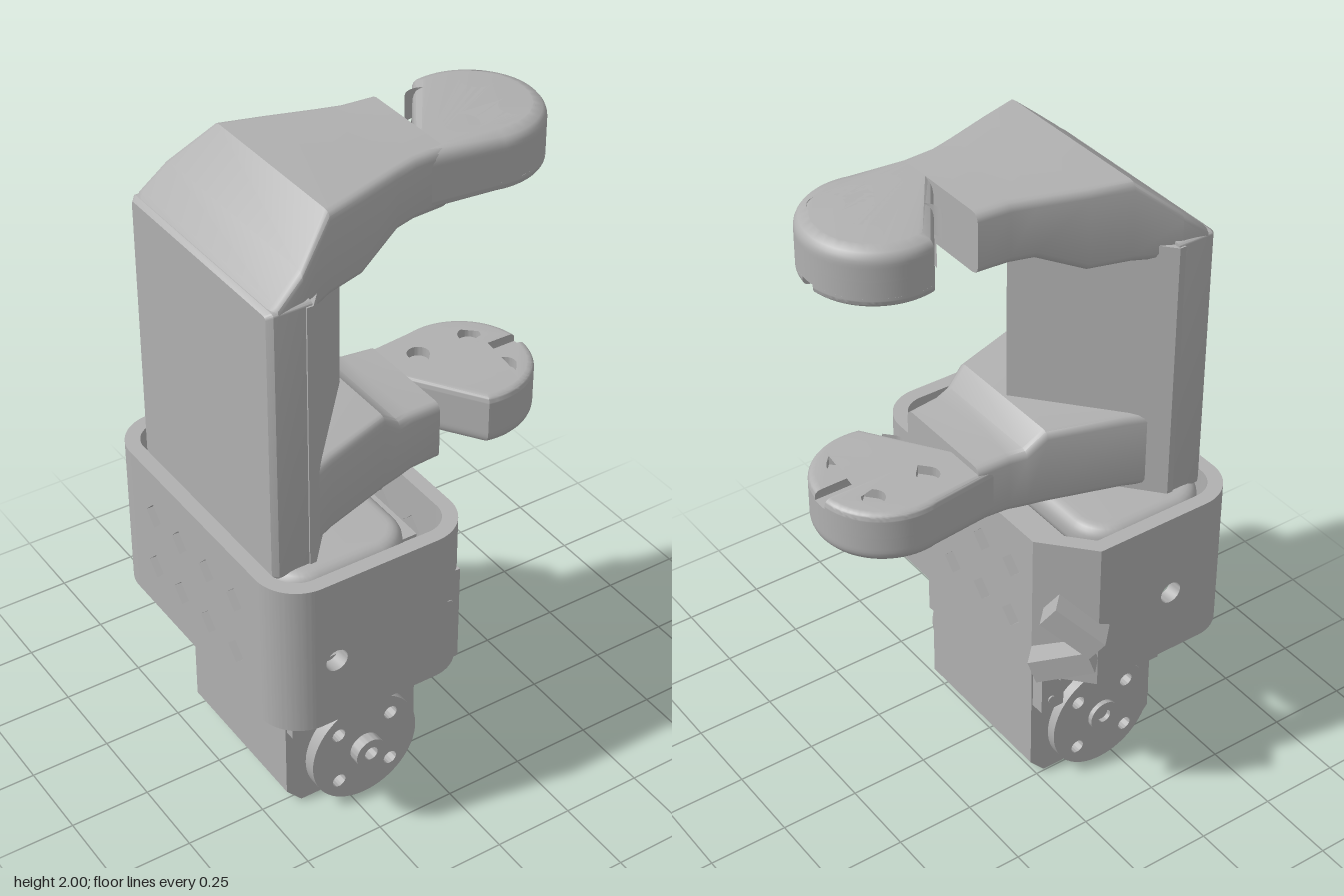
import * as THREE from 'three';
import { toCreasedNormals } from 'three/addons/utils/BufferGeometryUtils.js';

const metal = new THREE.MeshStandardMaterial({ color: 0xb0b0b0 });
metal.name = 'grey plastic';
const ZC = 0.015; // centre line of the bracket

function add(parent, name, geo, x = 0, y = 0, z = 0) {
  const m = new THREE.Mesh(toCreasedNormals(geo, 0.6), metal);
  m.name = name;
  m.position.set(x, y, z);
  parent.add(m);
  return m;
}
// box given by its limits
const box = (p, name, x0, x1, y0, y1, z0, z1) =>
  add(p, name, new THREE.BoxGeometry(x1 - x0, y1 - y0, z1 - z0), (x0 + x1) / 2, (y0 + y1) / 2, (z0 + z1) / 2);
// cylinder along z between two limits
const rod = (p, name, r, x, y, z0, z1, n = 32) =>
  add(p, name, new THREE.CylinderGeometry(r, r, z1 - z0, n).rotateX(Math.PI / 2), x, y, (z0 + z1) / 2);

// shape in (x, z), extruded downwards from y = 0
const flat = (shape, depth, steps = 1) =>
  new THREE.ExtrudeGeometry(shape, { depth, steps, bevelEnabled: false, curveSegments: 20 }).rotateX(Math.PI / 2);

const circle = (x, y, r) => new THREE.Path().absarc(x, y, r, 0, Math.PI * 2, true);
const poly = (pts) => new THREE.Path(pts.map(([x, y]) => new THREE.Vector2(x, y)));
const diamond = (x, y, r) => poly([[x - r, y], [x, y + r], [x + r, y], [x, y - r]]);
function teardrop(x, y, r) {
  const p = new THREE.Path();
  p.absarc(x, y, r, -0.7, Math.PI + 0.7, false);
  p.lineTo(x, y - r * 1.5);
  p.closePath();
  return p;
}

// solid through rounded rectangles [x, half width, y0, y1] along x
function loft(sections, radius) {
  const pos = [], idx = [], n = 16;
  for (const [x, w, y0, y1] of sections) {
    for (let j = 0; j < n; j++) {
      const c = Math.floor(j / 4), a = (c + (j % 4) / 3) * Math.PI / 2;
      const sz = c === 0 || c === 3 ? -1 : 1, top = c < 2;
      pos.push(x, (top ? y1 - radius : y0 + radius) + Math.sin(a) * radius,
        sz * (w - radius) - Math.cos(a) * radius + ZC);
    }
  }
  const last = (sections.length - 1) * n;
  for (let i = 0; i < last; i += n) {
    for (let j = 0; j < n; j++) {
      const a = i + j, b = i + (j + 1) % n;
      idx.push(a, b, a + n, b, b + n, a + n);
    }
  }
  for (let j = 1; j < n - 1; j++) idx.push(0, j + 1, j, last, last + j, last + j + 1);
  const g = new THREE.BufferGeometry();
  g.setAttribute('position', new THREE.Float32BufferAttribute(pos, 3));
  g.setIndex(idx);
  g.computeVertexNormals();
  return g;
}

// round arm end: outer counterbores, inner teardrop holes and a slotted face
function armHead() {
  const g = new THREE.Group(), cx = 0.35, R = 0.21, T = 0.17;
  const outline = (slot) => {
    const s = new THREE.Shape();
    s.moveTo(0.05, -0.175);
    if (slot) {
      s.absarc(cx, 0, R, -1.8, -0.12, false);
      s.lineTo(0.3, -0.025);
      s.lineTo(0.3, 0.025);
      s.absarc(cx, 0, R, 0.12, 1.8, false);
    } else s.absarc(cx, 0, R, -1.8, 1.8, false);
    s.lineTo(0.05, 0.175);
    s.closePath();
    return s;
  };
  const layers = [[0, 0.09, (x, z) => circle(x, z, 0.05)], [0.09, 0.05, (x, z) => teardrop(x, z, 0.034)],
    [0.14, 0.03, (x, z) => teardrop(x, z, 0.034)]];
  layers.forEach(([top, depth, hole], i) => {
    const s = outline(i === 2);
    for (const x of [0.26, 0.44]) for (const z of [-0.09, 0.09]) s.holes.push(hole(x, z));
    const geo = flat(s, depth, 9).translate(0, -top, 0), p = geo.attributes.position;
    // round the outer edges by drawing the rim inwards near both faces
    for (let k = 0; k < p.count; k++) {
      const dx = p.getX(k) - cx, z = p.getZ(k), d = Math.hypot(dx, z);
      if (d < 0.185) continue;
      const y = -p.getY(k), r = y < T / 2 ? 0.04 : 0.02;
      const e = Math.max(0, r - Math.min(y, T - y));
      const f = 1 - (r - Math.sqrt(Math.max(0, r * r - e * e))) / d;
      p.setX(k, cx + dx * f);
      p.setZ(k, z * f);
    }
    add(g, ['outerLayer', 'middleLayer', 'slottedFace'][i], geo);
  });
  return g;
}

function bracket() {
  const g = new THREE.Group();
  g.name = 'bracket';
  add(g, 'spine', loft([[-0.51, 0.34, 0.96, 1.8], [-0.495, 0.355, 0.96, 1.81], [-0.38, 0.355, 0.96, 1.81]], 0.01));
  add(g, 'upperArm', loft([[-0.51, 0.33, 1.7, 1.79], [-0.48, 0.355, 1.7, 1.825], [-0.4, 0.345, 1.75, 1.895],
    [-0.28, 0.285, 1.75, 2], [-0.16, 0.25, 1.75, 2], [-0.02, 0.205, 1.815, 2], [0.05, 0.185, 1.815, 2],
    [0.15, 0.178, 1.815, 2]], 0.025));
  add(g, 'lowerArm', loft([[-0.42, 0.345, 0.99, 1.24], [-0.28, 0.285, 0.99, 1.24], [-0.06, 0.215, 0.99, 1.24],
    [0, 0.2, 0.99, 1.19], [0.05, 0.185, 0.99, 1.185], [0.15, 0.178, 0.99, 1.18]], 0.025));
  // three-sided web between the arms
  const web = new THREE.Shape(poly([[-0.4, -0.345], [-0.38, -0.345], [-0.07, ZC], [-0.38, 0.375], [-0.4, 0.375]]).getPoints());
  add(g, 'web', flat(web, 0.83), 0, 1.8, 0);
  const upper = armHead(), lower = armHead();
  upper.name = 'upperArmHead';
  upper.position.set(0, 2, ZC);
  lower.name = 'lowerArmHead';
  lower.position.set(0, 0.99, ZC);
  lower.rotation.x = Math.PI;
  g.add(upper, lower);
  // rounded foot inside the sleeve
  const f = new THREE.Shape(), r = 0.08, x0 = -0.47, x1 = -0.12, z0 = -0.36, z1 = 0.39;
  f.absarc(x1 - r, z1 - r, r, 0, Math.PI / 2);
  f.absarc(x0 + r, z1 - r, r, Math.PI / 2, Math.PI);
  f.absarc(x0 + r, z0 + r, r, Math.PI, Math.PI * 1.5);
  f.absarc(x1 - r, z0 + r, r, Math.PI * 1.5, Math.PI * 2);
  add(g, 'foot', new THREE.ExtrudeGeometry(f, { depth: 0.02, bevelSize: 0.04, bevelThickness: 0.04, bevelSegments: 5 })
    .rotateX(Math.PI / 2), 0, 0.935, 0);
  return g;
}

function sleeve() {
  const g = new THREE.Group(), Y0 = 0.49, H = 0.495, T = 0.045, R = 0.13;
  g.name = 'sleeve';
  // flat wall from a to b (x, z), outside to the right of travel
  const wall = (name, a, b, holes = []) => {
    const dx = b[0] - a[0], dz = b[1] - a[1], L = Math.hypot(dx, dz);
    const s = new THREE.Shape(poly([[0, 0], [L, 0], [L, H], [0, H]]).getPoints());
    s.holes.push(...holes);
    const geo = new THREE.ExtrudeGeometry(s, { depth: T, bevelEnabled: false, curveSegments: 12 }).translate(0, 0, -T);
    add(g, name, geo, a[0], Y0, a[1]).rotation.y = -Math.atan2(dz, dx);
  };
  const corner = (x, z, a) => {
    const s = new THREE.Shape();
    s.absarc(x, z, R, a, a + Math.PI / 2, false);
    s.absarc(x, z, R - T, a + Math.PI / 2, a, true);
    add(g, 'roundedCorner', flat(s, H), 0, Y0 + H, 0);
  };
  const grid = (u) => [0.24, 0.09, -0.06, -0.205].flatMap((z) => [0.155, 0.34].map((y) => diamond(u(z), y, 0.042)));
  wall('frontWall', [-0.435, 0.49], [-0.06, 0.49], [circle(0.045, 0.22, 0.035)]);
  wall('leftWall', [0.07, 0.36], [0.07, -0.31], grid((z) => 0.36 - z));
  wall('chamferWall', [0.07, -0.31], [-0.06, -0.455]);
  wall('backWall', [-0.06, -0.455], [-0.435, -0.455], [circle(0.26, 0.22, 0.035)]);
  wall('rightWall', [-0.565, -0.325], [-0.565, 0.36], grid((z) => z + 0.325));
  corner(-0.06, 0.36, 0);
  corner(-0.435, 0.36, Math.PI / 2);
  corner(-0.435, -0.325, Math.PI);
  rod(g, 'cornerScrew', 0.033, -0.02, 0.71, 0.42, 0.484, 16);
  box(g, 'innerBlock', -0.07, 0.04, 0.5, 0.82, 0.3, 0.46);
  box(g, 'innerPlate', -0.04, 0.02, 0.5, 0.82, -0.28, 0.3);
  // two tilted clips on the chamfered corner
  const clips = new THREE.Group();
  clips.name = 'clips';
  clips.position.set(0.005, 0, -0.383);
  clips.rotation.y = Math.PI * 0.75;
  [[0.03, 0.725, -0.65], [0.0, 0.595, 0.35]].forEach(([x, y, tilt]) => {
    add(clips, 'clip', new THREE.BoxGeometry(0.18, 0.075, 0.09), x, y, 0.025).rotation.z = tilt;
  });
  g.add(clips);
  return g;
}

function servo() {
  const g = new THREE.Group(), CX = -0.205, CY = 0.18;
  g.name = 'servo';
  // body with chamfered lower edges
  const s = new THREE.Shape(poly([[-0.38, 0], [-0.03, 0], [0.02, 0.055], [0.02, 0.83], [-0.43, 0.83], [-0.43, 0.055]]).getPoints());
  add(g, 'body', new THREE.ExtrudeGeometry(s, { depth: 0.52, bevelEnabled: false }), 0, 0, -0.245);
  for (const [x0, x1] of [[-0.425, -0.34], [-0.065, 0.015]]) {
    for (const [z0, z1] of [[0.27, 0.305], [-0.29, -0.24]]) {
      box(g, 'mountEar', x0, x1, 0.29, 0.52, z0, z1);
      const x = x0 < -0.2 ? -0.39 : -0.02, out = z0 > 0 ? z1 : z0;
      rod(g, 'earPin', 0.012, x, 0.33, out - 0.005, out + 0.005, 12);
    }
  }
  box(g, 'frontPanel', -0.34, -0.065, 0.36, 0.52, 0.27, 0.285);
  rod(g, 'wirePin', 0.012, -0.03, 0.44, -0.335, -0.28, 12);
  // perforated output discs with hubs, front and back
  const disc = new THREE.Shape().absarc(0, 0, 0.18, 0, Math.PI * 2);
  for (const x of [-0.09, 0.09]) for (const y of [-0.09, 0.09]) disc.holes.push(circle(x, y, 0.022));
  [[0.31, 0.04, 0.27, 0.35, 0.385], [-0.3, 0.03, -0.3, -0.24, -0.315]].forEach(([z, depth, a, b, tip], i) => {
    const side = i ? 'back' : 'front';
    add(g, side + 'Disc', new THREE.ExtrudeGeometry(disc, { depth, bevelEnabled: false, curveSegments: 32 }), CX, CY, z);
    rod(g, side + 'Axle', 0.08, CX, CY, a, i ? b : 0.315);
    const hub = new THREE.Shape().absarc(0, 0, 0.05, 0, Math.PI * 2);
    hub.holes.push(circle(0, 0, 0.022));
    const h = Math.abs(tip - (i ? a : b));
    add(g, side + 'Hub', new THREE.ExtrudeGeometry(hub, { depth: h, bevelEnabled: false, curveSegments: 24 }),
      CX, CY, i ? tip : b);
  });
  return g;
}

export function createModel() {
  const model = new THREE.Group();
  model.name = 'servoJoint';
  model.add(bracket(), sleeve(), servo());
  return model;
}
